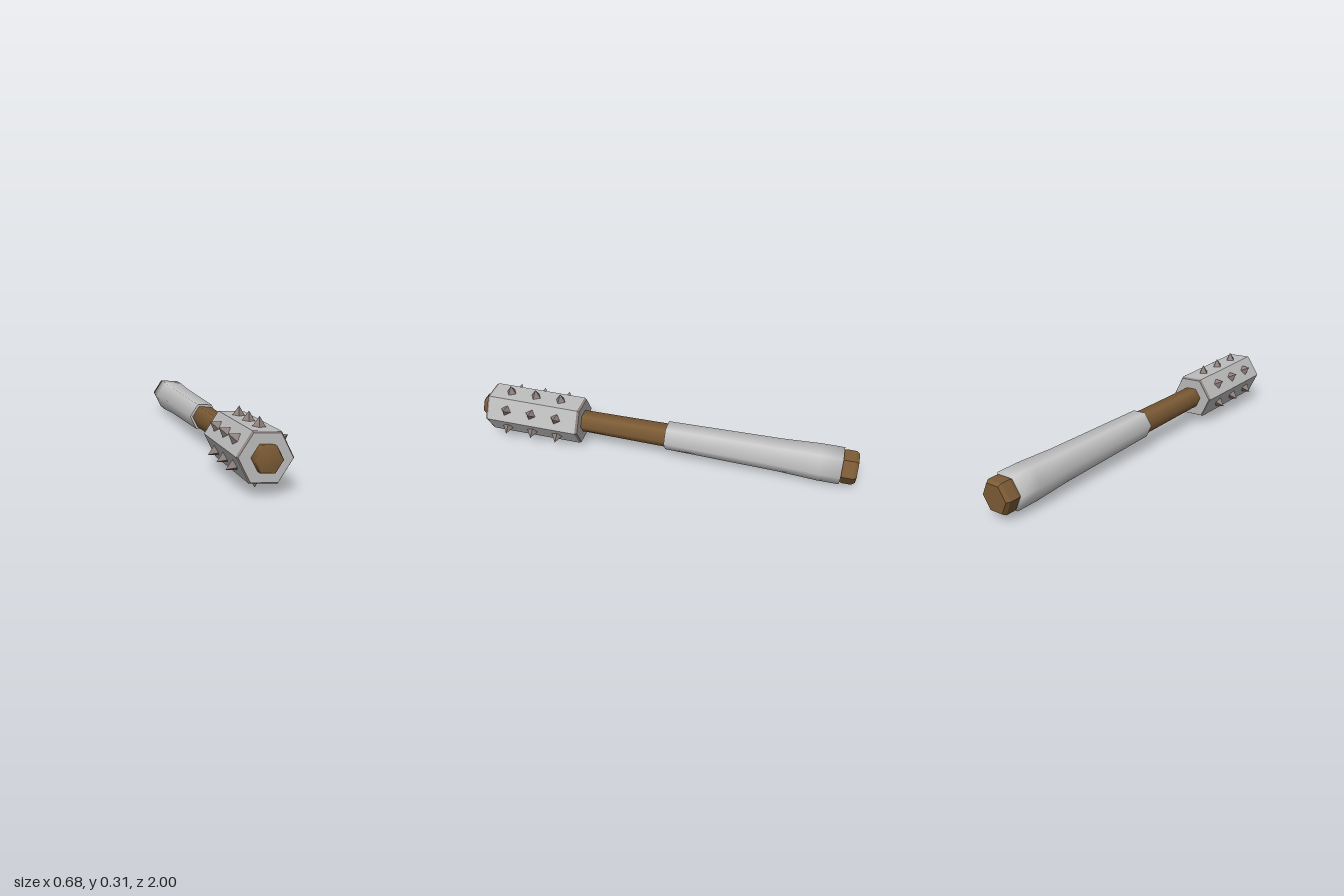
import * as THREE from 'three';

const mat = (name, color, flat = false) => {
  const m = new THREE.MeshStandardMaterial({ color, flatShading: flat });
  m.name = name;
  return m;
};

// Six-sided turned solid along z, from [radius, z] pairs running back to front
function hexTurned(profile) {
  const points = profile.map(([r, z]) => new THREE.Vector2(r, z));
  return new THREE.LatheGeometry(points, 6, Math.PI / 2).rotateX(Math.PI / 2);
}

export function createModel() {
  const wood = mat('brown wood', 0x7c5b35);
  const wrap = mat('pale grip wrap', 0xc6c6c6);
  const steel = mat('grey head metal', 0xbcbcbc, true);
  const spikeMetal = mat('dull spike metal', 0x8f827e, true);

  const club = new THREE.Group();
  club.name = 'spikedClub';
  const add = (name, geometry, material, parent = club) => {
    const mesh = new THREE.Mesh(geometry, material);
    mesh.name = name;
    parent.add(mesh);
    return mesh;
  };
  const flat = (geometry) => {
    const g = geometry.toNonIndexed();
    g.computeVertexNormals();
    return g;
  };

  // Wooden shaft, its front stub and the pommel
  add('shaft', hexTurned([[0.064, -0.1], [0.058, 0.5]]), wood);
  add('frontStub', hexTurned([[0.065, 0.95], [0.065, 1.0], [0.058, 1.012], [0, 1.014]]), wood);
  add('pommel', flat(hexTurned([
    [0, -1.012], [0.076, -1.012], [0.088, -0.995], [0.088, -0.95], [0.08, -0.92],
  ])), wood);

  // Flared grip wrap
  add('grip', hexTurned([
    [0, -0.935], [0.097, -0.935], [0.097, -0.82], [0.087, -0.62], [0.076, -0.02],
  ]), wrap);
  add('gripFrontRim', hexTurned([[0.076, -0.02], [0, -0.02]]), wrap);

  // Hexagonal head with narrow bevels at both ends
  const back = 0.458, front = 0.957, R = 0.125, rIn = 0.118, bevel = 0.012;
  add('headBody', flat(hexTurned([[R, back], [R, front]])), steel);
  add('headBackBevel', flat(hexTurned([[rIn, back - bevel], [R, back]])), spikeMetal);
  add('headFrontBevel', flat(hexTurned([[R, front], [rIn, front + bevel]])), spikeMetal);
  add('headBackFace', flat(hexTurned([[0, back - bevel], [rIn, back - bevel]])), steel);
  add('headFrontFace', flat(hexTurned([[rIn, front + bevel], [0, front + bevel]])), steel);

  // Three pyramid spikes on each of the six faces
  const spike = new THREE.ConeGeometry(0.034, 0.052, 4).rotateY(-0.245);
  for (let i = 0; i < 6; i++) {
    const row = new THREE.Group();
    row.name = 'spikeRow';
    row.rotation.z = (i * Math.PI) / 3;
    for (const z of [0.572, 0.714, 0.856]) {
      add('spike', spike, spikeMetal, row).position.set(0, 0.126, z);
    }
    club.add(row);
  }

  // Lay the club at its slight yaw, pitch and roll
  club.rotation.set(-0.027, 0.245, -0.07, 'YXZ');
  club.position.set(-0.012, 0.137, 0);

  const model = new THREE.Group();
  model.name = 'model';
  model.add(club);
  return model;
}
